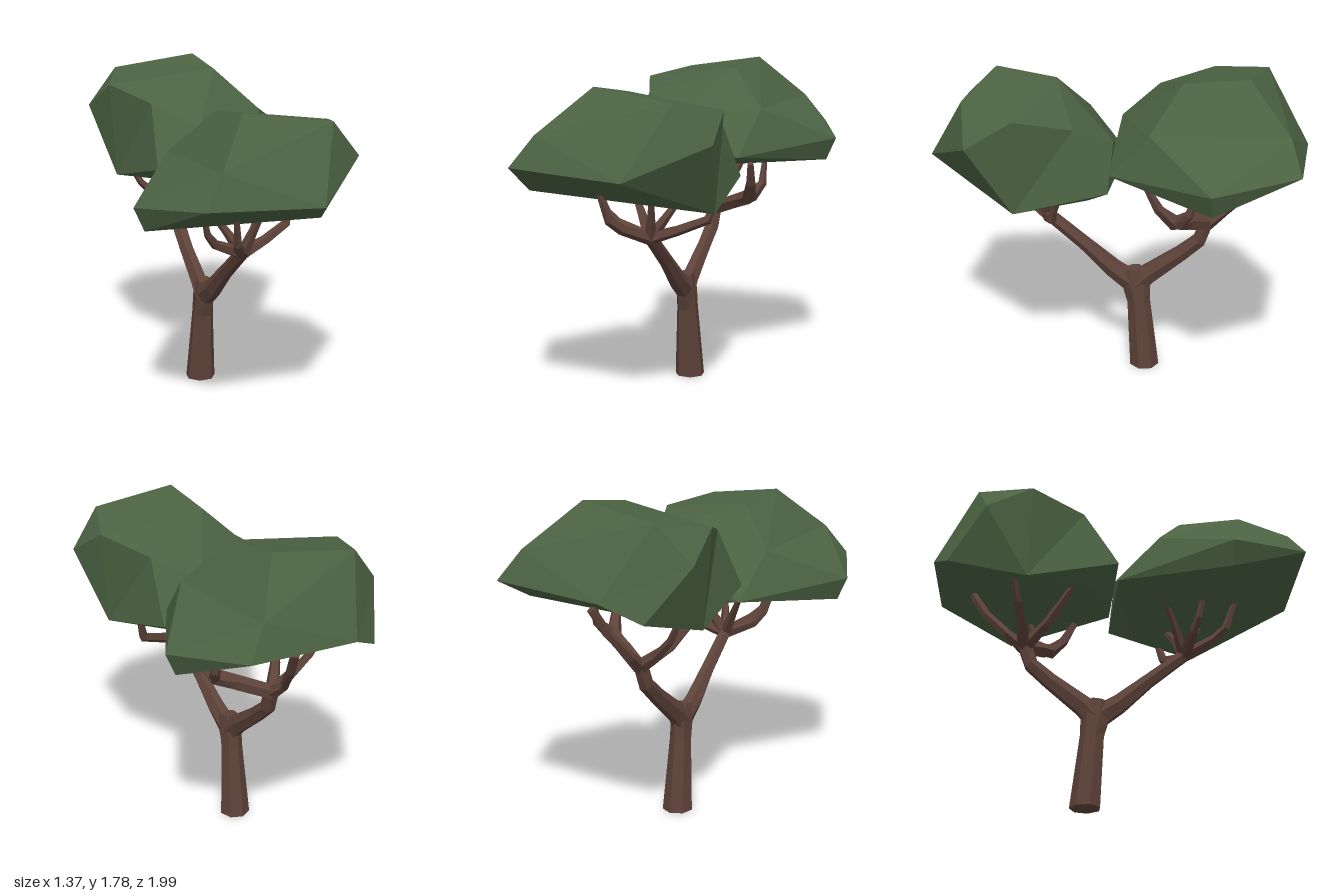
import * as THREE from 'three';

const UP = new THREE.Vector3(0, 1, 0);

function meshGeometry(pos, idx) {
  const g = new THREE.BufferGeometry();
  g.setAttribute('position', new THREE.Float32BufferAttribute(pos, 3));
  g.setIndex(idx);
  g.computeVertexNormals();
  return g;
}

// Tapered faceted limb through points [x, y, z, radius, width factor], closed at both ends
function limbGeometry(path, sides) {
  const pts = path.map(p => new THREE.Vector3(p[0], p[1], p[2]));
  const pos = [], idx = [];
  pts.forEach((p, i) => {
    const t = pts[Math.min(i + 1, pts.length - 1)].clone().sub(pts[Math.max(i - 1, 0)]).normalize();
    if (i === 0 && path[0][1] === 0) t.copy(UP);
    const q = new THREE.Quaternion().setFromUnitVectors(UP, t);
    const r = path[i][3], wide = path[i][4] ?? 1;
    for (let s = 0; s < sides; s++) {
      const a = (s + 0.5) / sides * Math.PI * 2;
      const v = new THREE.Vector3(Math.sin(a) * r * wide, 0, Math.cos(a) * r).applyQuaternion(q).add(p);
      pos.push(v.x, v.y, v.z);
    }
  });
  const last = (pts.length - 1) * sides;
  for (let i = 0; i < pts.length - 1; i++) {
    for (let s = 0; s < sides; s++) {
      const a = i * sides + s, b = i * sides + (s + 1) % sides;
      idx.push(a, b, b + sides, a, b + sides, a + sides);
    }
  }
  for (let s = 1; s < sides - 1; s++) {
    idx.push(0, s + 1, s, last, last + s, last + s + 1);
  }
  return meshGeometry(pos, idx);
}

// Faceted crown from corners and triangles; each triangle is turned to face away from the middle
function crownGeometry(corners, faces) {
  const pts = corners.map(c => new THREE.Vector3(...c));
  const middle = new THREE.Vector3(-0.05, 1.35, 0.5);
  const idx = faces.flatMap(([a, b, c]) => {
    const n = pts[b].clone().sub(pts[a]).cross(pts[c].clone().sub(pts[a]));
    return n.dot(pts[a].clone().sub(middle)) > 0 ? [a, b, c] : [a, c, b];
  });
  return meshGeometry(corners.flat(), idx);
}

export function createModel() {
  const bark = new THREE.MeshStandardMaterial({ color: 0x5d4239, flatShading: true });
  bark.name = 'bark brown';
  const leaf = new THREE.MeshStandardMaterial({ color: 0x4b6242, flatShading: true });
  leaf.name = 'leaf green';

  const tree = new THREE.Group();
  tree.name = 'tree';
  const limb = (name, sides, path) => {
    const m = new THREE.Mesh(limbGeometry(path, sides), bark);
    m.name = name;
    tree.add(m);
  };

  // Trunk and the two main boughs
  limb('trunk', 7, [[-0.025, 0, -0.148, 0.083], [-0.025, 0.4, -0.113, 0.066, 0.88],
    [-0.025, 0.5, -0.098, 0.08, 0.68], [-0.025, 0.6, -0.08, 0.055, 0.8]]);
  limb('frontBough', 6, [[-0.025, 0.52, -0.07, 0.066, 0.75], [-0.025, 0.588, 0.03, 0.055, 0.85],
    [-0.022, 0.73, 0.19, 0.04, 0.95], [-0.02, 0.9, 0.4, 0.035]]);
  limb('backBough', 6, [[-0.025, 0.5, -0.1, 0.068, 0.75], [-0.025, 0.565, -0.16, 0.06, 0.8],
    [-0.022, 0.71, -0.345, 0.046, 0.9], [-0.018, 0.8, -0.445, 0.042], [-0.01, 0.93, -0.49, 0.04]]);

  // Twigs fanning out into the front canopy
  const front = [-0.02, 0.885, 0.39, 0.036];
  [
    [[-0.11, 0.95, 0.54, 0.028], [-0.15, 1.0, 0.6, 0.024], [-0.18, 1.15, 0.65, 0.014]],
    [[-0.19, 0.96, 0.42, 0.026], [-0.24, 1.02, 0.44, 0.02], [-0.28, 1.15, 0.47, 0.012]],
    [[0.12, 0.93, 0.36, 0.028], [0.27, 0.99, 0.31, 0.026], [0.31, 1.12, 0.28, 0.018]],
    [[0.06, 1.0, 0.36, 0.024], [0.14, 1.14, 0.28, 0.015]],
    [[-0.09, 1.0, 0.34, 0.024], [-0.18, 1.14, 0.27, 0.014]],
    [[0.01, 1.0, 0.44, 0.022], [0.04, 1.13, 0.5, 0.013]],
  ].forEach(p => limb('frontTwig', 5, [front, ...p]));

  // Twigs fanning out into the back canopy
  const back = [-0.01, 0.905, -0.487, 0.04];
  [
    [[0.15, 0.97, -0.4, 0.042], [0.25, 1.01, -0.345, 0.044], [0.29, 1.1, -0.26, 0.028], [0.31, 1.22, -0.2, 0.018]],
    [[0.15, 0.97, -0.4, 0.04], [0.26, 1.02, -0.36, 0.042], [0.3, 1.08, -0.42, 0.026], [0.3, 1.22, -0.46, 0.014]],
    [[-0.02, 0.98, -0.58, 0.026], [0.04, 1.12, -0.7, 0.026], [0.08, 1.26, -0.78, 0.024]],
    [[-0.12, 0.98, -0.5, 0.028], [-0.22, 1.08, -0.53, 0.021], [-0.3, 1.22, -0.56, 0.014]],
    [[-0.12, 1.0, -0.37, 0.028], [-0.24, 1.2, -0.22, 0.018]],
  ].forEach(p => limb('backTwig', 5, [back, ...p]));

  // Canopy corners and facets, used twice: the back one is turned half round and raised
  const corners = [
    [-0.685, 1.245, 0.564], [-0.63, 1.122, 0.564], [-0.495, 1.3, 0.983], [0.115, 1.26, 0.997],
    [0.383, 1.056, 0.489], [0.462, 1.424, 0.713], [0.279, 1.62, 0.766], [-0.175, 1.682, 0.697],
    [-0.384, 1.457, 0.92], [-0.156, 1.639, 0.36], [-0.364, 1.425, 0.217], [0.421, 1.57, 0.469],
    [0.289, 1.5, 0.185], [0.08, 1.38, 0.012], [0.331, 1.18, 0.0], [-0.315, 1.18, 0.0],
    [0.2, 1.084, 0.126],
  ];
  const faces = [
    [7, 6, 9], [6, 11, 9], [11, 12, 9], [9, 12, 13], [9, 13, 10], [7, 9, 10], // top
    [7, 10, 8], [0, 10, 8], [0, 8, 2], [0, 2, 1], [0, 10, 15], [0, 1, 15], // outer side
    [8, 6, 7], [8, 3, 6], [8, 2, 3], [6, 5, 3], [6, 11, 5], // far end
    [5, 11, 4], [11, 12, 4], [12, 14, 4], // inner side
    [12, 13, 14], [13, 15, 14], [13, 10, 15], // end towards the trunk
    [14, 16, 4], [14, 15, 16], [16, 15, 1], [16, 1, 4], [1, 2, 3], [1, 3, 4], // underside
  ];
  // The back canopy has one more corner low on its outer end
  const extra = [0.31, 1.165, 0.912];
  const canopy = (name, geometry, turn, lift) => {
    const m = new THREE.Mesh(geometry, leaf);
    m.name = name;
    m.rotation.y = turn;
    m.position.y = lift;
    tree.add(m);
  };
  canopy('frontCanopy', crownGeometry(corners, [...faces, [3, 5, 4]]), 0, 0);
  canopy('backCanopy', crownGeometry([...corners, extra], [...faces, [3, 17, 5], [17, 4, 5], [3, 4, 17]]), Math.PI, 0.095);
  return tree;
}
